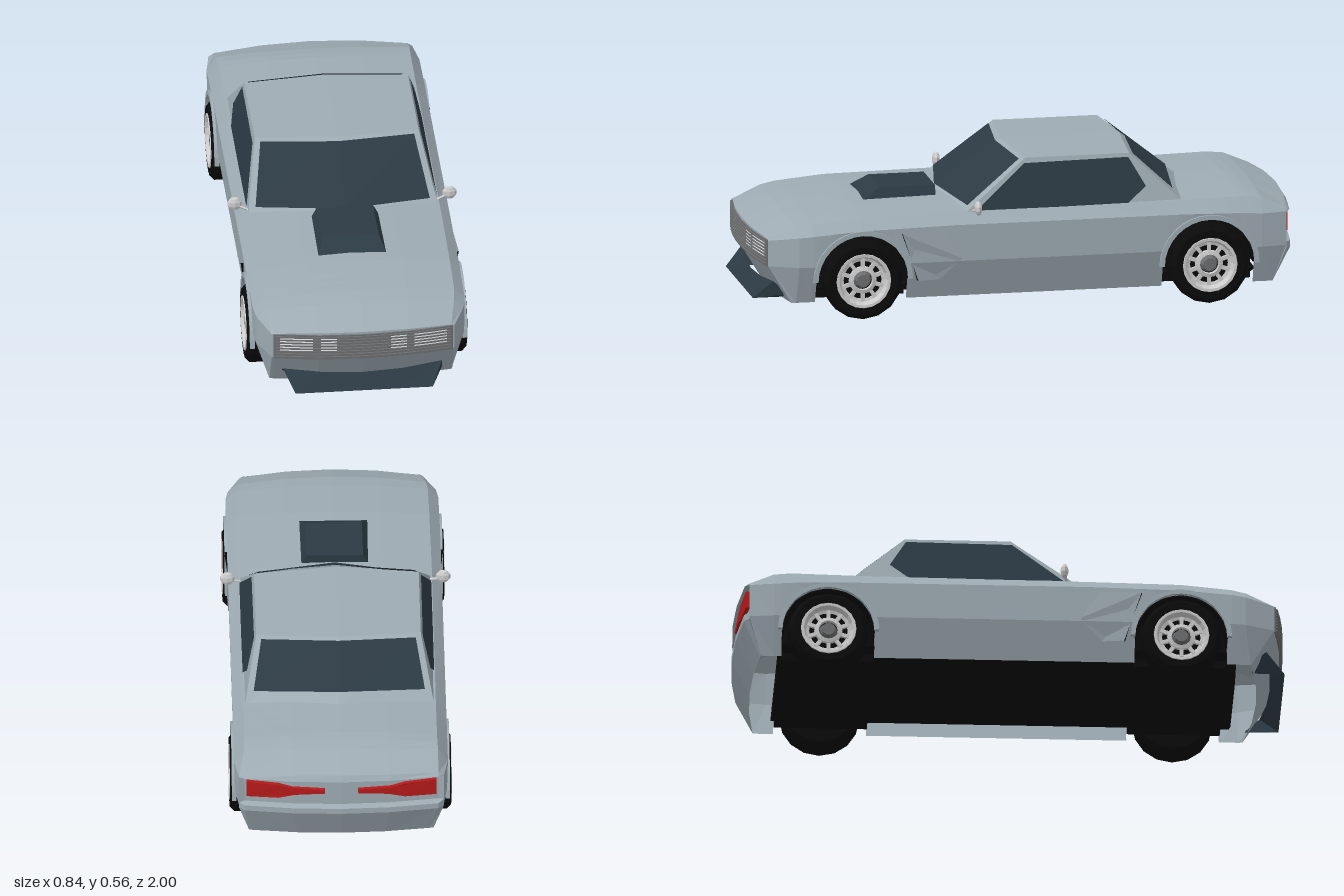
import * as THREE from 'three';

const mat = (color) => new THREE.MeshStandardMaterial({ color, flatShading: true, side: THREE.DoubleSide });
const paint = mat(0x9eabb3), glass = mat(0x2c3a44), black = mat(0x0a0a0a), grey = mat(0xcccccc);
const grilleGrey = mat(0x6c6e6f), red = mat(0xb51a1a), white = mat(0xeef2f4);
const lerp = THREE.MathUtils.lerp, clamp = THREE.MathUtils.clamp;
const mix = (p, q, t) => p.map((v, i) => lerp(v, q[i], t));

const WHEELS = [-0.665, 0.617], AXLE_Y = 0.145, ARCH_R = 0.168;

// Body outline keys: z, side x, shoulder x, y, deck edge x, y, deck centre y, bow in z, sill shift in z
const KEYS = [
  [-0.95, 0.372, 0.372, 0.325, 0.352, 0.338, 0.35, -0.035, 0.05],
  [-0.86, 0.385, 0.388, 0.325, 0.352, 0.378, 0.388, -0.01, 0],
  [-0.8, 0.385, 0.388, 0.33, 0.35, 0.385, 0.402, 0, 0],
  [-0.56, 0.385, 0.388, 0.335, 0.35, 0.38, 0.4, 0, 0],
  [0.28, 0.385, 0.388, 0.335, 0.352, 0.372, 0.39, 0, 0],
  [0.62, 0.385, 0.388, 0.328, 0.35, 0.368, 0.384, 0, 0],
  [0.8, 0.385, 0.386, 0.315, 0.348, 0.352, 0.37, 0, 0],
  [0.85, 0.378, 0.378, 0.31, 0.342, 0.342, 0.36, 0.02, 0],
  [0.945, 0.333, 0.333, 0.296, 0.322, 0.3, 0.307, 0.045, -0.085],
];
const bowAt = (x, bow) => bow * (1 - (x / 0.385) ** 2);

function add(group, name, geometry, material) {
  const m = new THREE.Mesh(geometry, material);
  m.name = name;
  group.add(m);
  return m;
}

// Surface through a grid of points
function grid(rows) {
  const pos = [];
  for (let i = 0; i + 1 < rows.length; i++)
    for (let j = 0; j + 1 < rows[i].length; j++) {
      const a = rows[i][j], b = rows[i][j + 1], c = rows[i + 1][j + 1], d = rows[i + 1][j];
      pos.push(...a, ...b, ...c, ...a, ...c, ...d);
    }
  const g = new THREE.BufferGeometry();
  g.setAttribute('position', new THREE.Float32BufferAttribute(pos, 3));
  g.computeVertexNormals();
  return g;
}
const fan = (p) => grid([p.slice(1), p.slice(1).map(() => p[0])]);

function reshape(g, rule) {
  const p = g.attributes.position;
  for (let i = 0; i < p.count; i++) p.setXYZ(i, ...rule(p.getX(i), p.getY(i), p.getZ(i)));
  g.computeVertexNormals();
  return g;
}

// Half cross-section: sill, side, shoulder, deck edge, deck middle, deck centre
function section(z, sillY) {
  let i = 0;
  while (i < KEYS.length - 2 && z > KEYS[i + 1][0]) i++;
  const t = (z - KEYS[i][0]) / (KEYS[i + 1][0] - KEYS[i][0]);
  const [, bx, cx, cy, dx, dy, fy, bow, shift] = mix(KEYS[i], KEYS[i + 1], t);
  const ax = lerp(Math.min(0.335, bx), bx, clamp((sillY - 0.06) / 0.14, 0, 1));
  return [[ax, sillY, shift], [bx, Math.max(0.2, sillY + 0.004), 0], [cx, cy, 0], [dx, dy, 0],
    [dx / 2, lerp(dy, fy, 0.75), 0], [0, fy, 0]].map(([x, y, s]) => [x, y, z + s + bowAt(x, bow)]);
}
const flip = ([x, y, z]) => [-x, y, z];
const across = (half) => [...half, ...half.slice(0, -1).reverse().map(flip)];

function buildBody(car) {
  const stations = [[-0.95, 0.06], [-0.86, 0.06]];
  WHEELS.forEach((zc, w) => {
    stations.push([zc - ARCH_R, 0.06]);
    for (let k = 0; k <= 8; k++) {
      const a = (k * Math.PI) / 8;
      stations.push([zc - ARCH_R * Math.cos(a), AXLE_Y + ARCH_R * Math.sin(a)]);
    }
    stations.push([zc + ARCH_R, 0.06]);
    if (w === 0) stations.push([-0.2, 0.06], [0.28, 0.06]);
  });
  stations.push([0.8, 0.06], [0.85, 0.06], [0.945, 0.06]);
  const halves = stations.map(([z, y]) => section(z, y));
  add(car, 'bodyShell', grid(halves.map(across)), paint);

  // Nose and tail faces; the tail has a recess between two lips
  const cap = (half, bow, rows) => {
    const top = across(half.slice(2)), w = half[2][0];
    return [...rows.map(([x, y, z, lip]) => top.map((p) => {
      const f = p[0] / w;
      return [x * f, y, z + bowAt(x * f, bow) + (Math.abs(f) < 0.99 ? lip : 0)];
    })), top];
  };
  const nose = cap(halves.at(-1), 0.045, [[0.333, 0.06, 0.86, 0], [0.333, 0.2, 0.945, 0]]);
  add(car, 'noseFace', grid(nose.map((r) => r.reverse())), paint);
  const tail = cap(halves[0], -0.035, [[0.335, 0.06, -0.9, 0], [0.372, 0.19, -0.95, -0.015],
    [0.372, 0.212, -0.95, -0.015], [0.372, 0.218, -0.95, 0.008], [0.372, 0.322, -0.95, 0.008],
    [0.372, 0.328, -0.95, -0.012]]);
  add(car, 'tailFace', grid(tail), paint);

  // Floor pan
  add(car, 'floorPan', reshape(new THREE.BoxGeometry(1, 1, 1.665), (x, y, z) =>
    [Math.sign(x) * (y < 0 ? 0.19 : 0.33), y < 0 ? 0.055 : 0.11, z - 0.012]), black);
}

function buildCabin(car) {
  const base = { f: [0.345, 0.373, 0.225], fc: [0, 0.384, 0.292], r: [0.343, 0.376, -0.575], rc: [0, 0.396, -0.615] };
  const top = { f: [0.299, 0.553, 0.0], fc: [0, 0.557, 0.032], r: [0.299, 0.553, -0.385], rc: [0, 0.557, -0.408] };
  const ring = (k) => [flip(k.f), k.fc, k.f, k.r, k.rc, flip(k.r), flip(k.f)];
  add(car, 'cabinPillars', grid([ring(base), ring(top)]), paint);
  add(car, 'roof', grid([[flip(top.f), top.fc, top.f], [flip(top.r), top.rc, top.r]]), paint);

  // Front and rear glass, inset on the cabin faces
  const pane = (c, e, s, v0, v1) => grid([v0, v1].map((v) => [-0.93, 0, 0.93].map((u) => {
    const p = mix(mix(base[c], base[e], Math.abs(u)), mix(top[c], top[e], Math.abs(u)), v);
    return [Math.sign(u * s) * p[0], p[1] + 0.004, p[2] + 0.004 * s];
  })));
  add(car, 'windscreen', pane('fc', 'f', 1, 0.07, 0.94), glass);
  add(car, 'rearWindow', pane('rc', 'r', -1, 0.2, 0.94), glass);

  // Side windows
  const outline = [[0.19, 0.376], [0.005, 0.535], [-0.38, 0.54], [-0.44, 0.435], [-0.37, 0.376]];
  for (const s of [1, -1])
    add(car, s > 0 ? 'leftWindow' : 'rightWindow', fan(outline.map(([z, y]) =>
      [s * (lerp(0.345, 0.299, (y - 0.373) / 0.18) + 0.004), y, z])), glass);
}

function buildFront(car) {
  // Grille panel, lamps and slats bent to the nose
  const strip = (name, x, w, y, h, z, d, m) => add(car, name, reshape(
    new THREE.BoxGeometry(w, h, d, 8, 1, 1).translate(x, y, 0),
    (px, py, pz) => [px, py, pz + z + bowAt(px, 0.045)]), m);
  strip('grillePanel', 0, 0.655, 0.248, 0.1, 0.946, 0.006, grilleGrey);
  for (const s of [1, -1])
    for (const [x, w] of [[0.245, 0.12], [0.128, 0.058]])
      strip('headlamp', s * x, w, 0.259, 0.062, 0.949, 0.005, white);
  for (let i = 0; i < 8; i++) strip('grilleSlat', 0, 0.64, 0.208 + i * 0.0118, 0.0055, 0.951, 0.008, grilleGrey);

  // Chin spoiler
  const xs = [-1, -0.5, 0, 0.5, 1];
  add(car, 'chinSpoiler', grid([
    [[-0.25, 0.065, 0.88], ...xs.map((t) => [0.25 * t, 0.065, 0.998]), [0.25, 0.065, 0.88]],
    [[-0.3, 0.085, 0.875], ...xs.map((t) => [0.29 * t, 0.117 + 0.017 * t * t, 0.955 - 0.025 * t * t]), [0.3, 0.085, 0.875]],
  ]), glass);

  // Bonnet scoop, tapered upward and towards the nose
  add(car, 'bonnetScoop', reshape(new THREE.BoxGeometry(1, 1, 1), (x, y, z) =>
    [Math.sign(x) * (y > 0 ? 0.103 : 0.13), y > 0 ? 0.42 : 0.37, z < 0 ? 0.295 : y > 0 ? 0.5 : 0.585]), glass);
}

function buildSideParts(car, s) {
  const side = new THREE.Group();
  side.name = s > 0 ? 'leftSideParts' : 'rightSideParts';
  car.add(side);

  // Mirror on a stalk
  const head = add(side, 'mirrorHead', new THREE.SphereGeometry(0.027, 8, 5), grey);
  head.position.set(s * 0.392, 0.395, 0.192);
  head.scale.z = 0.55;
  const stalk = new THREE.LineCurve3(new THREE.Vector3(s * 0.335, 0.37, 0.205), new THREE.Vector3(s * 0.385, 0.388, 0.192));
  add(side, 'mirrorStalk', new THREE.TubeGeometry(stalk, 1, 0.005, 5), grey);

  // Wing vent wedge behind the front wheel
  const a = [s * 0.398, 0.312, 0.472], b = [s * 0.374, 0.13, 0.41];
  add(side, 'wingVent', fan([a, b, [s * 0.363, 0.13, 0.33], [s * 0.388, 0.21, 0.25], [s * 0.39, 0.315, 0.32]]), paint);
  add(side, 'wingVentEdge', grid([[a, b], [[s * 0.38, 0.312, 0.475], [s * 0.35, 0.13, 0.415]]]), black);

  // Tail lamp, tapering inwards
  const lamp = new THREE.Shape([[0.345, 0.312], [0.345, 0.248], [0.23, 0.25], [0.17, 0.266], [0.06, 0.274],
    [0.06, 0.288], [0.18, 0.294], [0.23, 0.306]].map(([x, y]) => new THREE.Vector2(s * x, y)));
  add(side, 'tailLamp', reshape(new THREE.ExtrudeGeometry(lamp, { depth: 0.02, bevelEnabled: false }),
    (x, y, z) => [x, y, z - 0.956 - bowAt(x, 0.035)]), red);

  for (const zc of WHEELS) {
    // Black wheel well and painted arch lip
    const half = (r0, r1, depth) => {
      const sh = new THREE.Shape();
      sh.absarc(0, 0, r1, 0, Math.PI, false);
      if (r0) sh.absarc(0, 0, r0, Math.PI, 0, true);
      else sh.lineTo(-r1, -0.08).lineTo(r1, -0.08);
      return new THREE.ExtrudeGeometry(sh, { depth, bevelEnabled: false, curveSegments: 8 }).rotateY(Math.PI / 2);
    };
    const put = (name, g, x0, depth, m) =>
      add(side, name, g, m).position.set(s > 0 ? x0 : -x0 - depth, AXLE_Y, zc);
    put('wheelWell', half(0, 0.169, 0.1), 0.19, 0.1, black);
    put('wellLiner', half(0.162, 0.169, 0.09), 0.29, 0.09, black);
    put('archLip', half(0.167, 0.184, 0.017), 0.379, 0.017, paint);
    const wheel = buildWheel();
    wheel.name = zc > 0 ? 'frontWheel' : 'rearWheel';
    wheel.position.set(s * 0.35, AXLE_Y, zc);
    wheel.rotation.z = (-s * Math.PI) / 2;
    side.add(wheel);
  }
}

// Wheel with its outer face towards +y
function buildWheel() {
  const w = new THREE.Group();
  const lathe = (name, pts, n, m) => add(w, name, new THREE.LatheGeometry(pts.map((p) => new THREE.Vector2(...p)), n), m);
  lathe('tyre', [[0.001, -0.054], [0.13, -0.054], [0.145, -0.04], [0.145, 0.036], [0.128, 0.052], [0.098, 0.05], [0.094, 0.02]], 16, black);
  lathe('rim', [[0.102, 0.048], [0.1, 0.054], [0.09, 0.053], [0.082, 0.03], [0.07, 0.026]], 20, grey);
  lathe('brakeDisc', [[0.09, 0.016], [0.001, 0.016]], 16, black);
  lathe('spokeRing', [[0.052, 0.026], [0.05, 0.036], [0.036, 0.04], [0.034, 0.026]], 16, grey);
  for (let i = 0; i < 10; i++) {
    const a = (i * Math.PI) / 5;
    const spoke = add(w, 'spoke', new THREE.BoxGeometry(0.03, 0.012, 0.014), grey);
    spoke.position.set(0.064 * Math.cos(a), 0.027, -0.064 * Math.sin(a));
    spoke.rotation.y = a;
  }
  const hub = add(w, 'hub', new THREE.CylinderGeometry(0.024, 0.034, 0.028, 10), grilleGrey);
  hub.position.y = 0.032;
  return w;
}

export function createModel() {
  const car = new THREE.Group();
  car.name = 'car';
  buildBody(car);
  buildCabin(car);
  buildFront(car);
  for (const s of [1, -1]) buildSideParts(car, s);
  return car;
}
